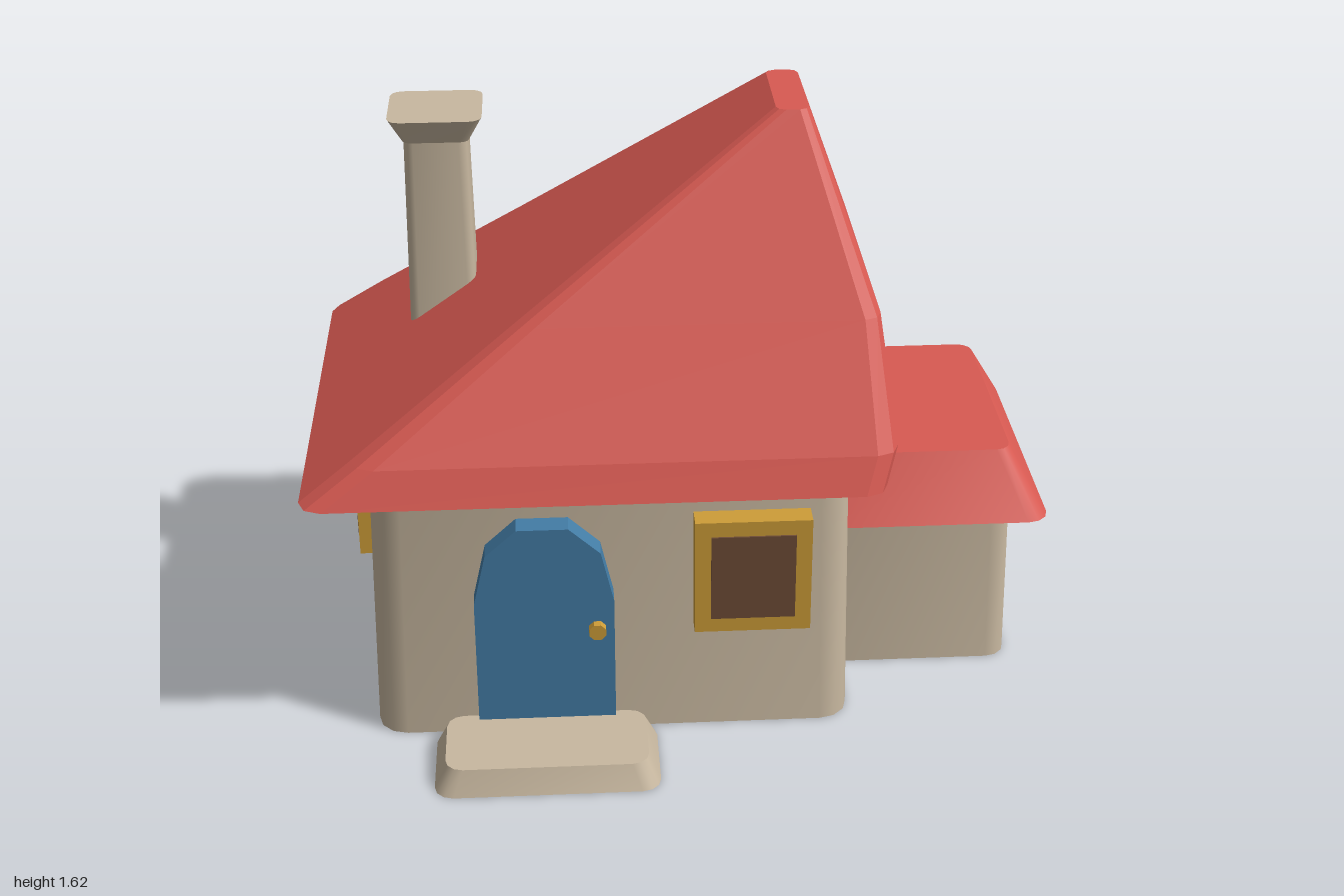
import * as THREE from 'three';
import { toCreasedNormals } from 'three/addons/utils/BufferGeometryUtils.js';

const mat = (name, color) => {
  const m = new THREE.MeshStandardMaterial({ color });
  m.name = name;
  return m;
};

// Rounded rectangle in the ground plane
function ring([y, x0, x1, z0, z1, r], segs) {
  const pts = [];
  const corners = [[x1 - r, z1 - r], [x0 + r, z1 - r], [x0 + r, z0 + r], [x1 - r, z0 + r]];
  corners.forEach(([cx, cz], q) => {
    for (let i = 0; i <= segs; i++) {
      const a = (q + i / segs) * Math.PI / 2;
      pts.push([cx + r * Math.cos(a), y, cz + r * Math.sin(a)]);
    }
  });
  return pts;
}

// Closed solid through levels of [y, x0, x1, z0, z1, cornerRadius]
function loft(levels, segs, crease) {
  const rings = levels.map(l => ring(l, segs));
  const n = rings[0].length, pos = [];
  const tri = (a, b, c) => pos.push(...a, ...b, ...c);
  for (let k = 0; k < rings.length - 1; k++) {
    const a = rings[k], b = rings[k + 1];
    for (let i = 0; i < n; i++) {
      const j = (i + 1) % n;
      tri(a[i], b[i], a[j]);
      tri(a[j], b[i], b[j]);
    }
  }
  const low = rings[0], top = rings[rings.length - 1];
  for (let i = 1; i < n - 1; i++) {
    tri(low[0], low[i], low[i + 1]);
    tri(top[0], top[i + 1], top[i]);
  }
  const g = new THREE.BufferGeometry();
  g.setAttribute('position', new THREE.Float32BufferAttribute(pos, 3));
  g.computeVertexNormals();
  return crease ? toCreasedNormals(g, crease) : g;
}

// Window centred on its origin, facing +z, with its back at z = 0
function makeWindow(name, w, h, depth, border, frameMat, paneMat) {
  const group = new THREE.Group();
  group.name = name;
  const shape = new THREE.Shape([[-1, -1], [1, -1], [1, 1], [-1, 1]]
    .map(([x, y]) => new THREE.Vector2(x * w / 2, y * h / 2)));
  const frame = new THREE.Mesh(
    new THREE.ExtrudeGeometry(shape, { depth, bevelEnabled: false }), frameMat);
  frame.name = 'windowFrame';
  const pane = new THREE.Mesh(
    new THREE.BoxGeometry(w - 2 * border, h - 2 * border, 0.008), paneMat);
  pane.name = 'windowPane';
  pane.position.z = depth + 0.001;
  group.add(frame, pane);
  return group;
}

export function createModel() {
  const house = new THREE.Group();
  house.name = 'cottage';
  const plaster = mat('plaster', 0xc8b8a0);
  const tile = mat('roofRed', 0xd85a52);
  const blue = mat('doorBlue', 0x437ca5);
  const gold = mat('gold', 0xcd9d38);
  const brown = mat('paneBrown', 0x6e4c36);

  const add = (name, geometry, material) => {
    const m = new THREE.Mesh(geometry, material);
    m.name = name;
    house.add(m);
    return m;
  };

  // Walls
  add('mainWalls', loft([
    [0, -0.845, 0.43, -0.635, 0.435, 0.08],
    [0.755, -0.83, 0.417, -0.622, 0.42, 0.08]], 3, 0.6), plaster);
  add('annexWalls', loft([
    [0, 0.2, 0.915, -0.555, 0.165, 0.06],
    [0.49, 0.2, 0.905, -0.547, 0.157, 0.06]], 3, 0.6), plaster);

  // Lopsided hipped roof, bent on its steep side
  add('mainRoof', loft([
    [0.745, -1, 0.5, -0.73, 0.53, 0.06],
    [0.84, -0.865, 0.53, -0.69, 0.49, 0.06],
    [1.14, -0.437, 0.495, -0.515, 0.315, 0.045],
    [1.615, 0.24, 0.325, -0.255, 0.055, 0.025]], 2), tile);
  add('annexRoof', loft([
    [0.475, 0.3, 0.995, -0.625, 0.23, 0.06],
    [0.65, 0.3, 0.895, -0.525, 0.13, 0.04]], 3, 0.6), tile);

  // Chimney with a flared cap
  add('chimneyShaft', loft([
    [0.85, -0.737, -0.548, -0.37, -0.18, 0.025],
    [1.46, -0.728, -0.557, -0.36, -0.19, 0.025]], 3, 0.6), plaster);
  add('chimneyCap', loft([
    [1.455, -0.732, -0.553, -0.365, -0.185, 0.025],
    [1.525, -0.768, -0.517, -0.4, -0.15, 0.035]], 3, 0.6), plaster);

  // Doorstep
  add('doorstep', loft([
    [0, -0.685, -0.095, 0.435, 0.73, 0.05],
    [0.07, -0.655, -0.125, 0.465, 0.705, 0.045]], 3, 0.6), plaster);

  // Door with a faceted arch
  const outline = [[-0.57, 0], [-0.205, 0], [-0.205, 0.43], [-0.238, 0.575],
    [-0.32, 0.65], [-0.455, 0.65], [-0.537, 0.575], [-0.57, 0.43]];
  const door = add('door', new THREE.ExtrudeGeometry(
    new THREE.Shape(outline.map(p => new THREE.Vector2(...p))),
    { depth: 0.085, bevelEnabled: false }), blue);
  door.position.z = 0.4;

  const knob = add('doorKnob', toCreasedNormals(
    new THREE.CylinderGeometry(0.024, 0.024, 0.03, 8), 0.5), gold);
  knob.rotation.set(Math.PI / 2, Math.PI / 8, 0);
  knob.position.set(-0.25, 0.347, 0.492);

  // Windows
  const frontWindow = makeWindow('frontWindow', 0.305, 0.33, 0.075, 0.042, gold, brown);
  frontWindow.position.set(0.158, 0.49, 0.41);
  const sideWindow = makeWindow('sideWindow', 0.26, 0.255, 0.075, 0.04, gold, brown);
  sideWindow.rotation.y = -Math.PI / 2;
  sideWindow.position.set(-0.813, 0.512, 0);
  house.add(frontWindow, sideWindow);

  return house;
}
